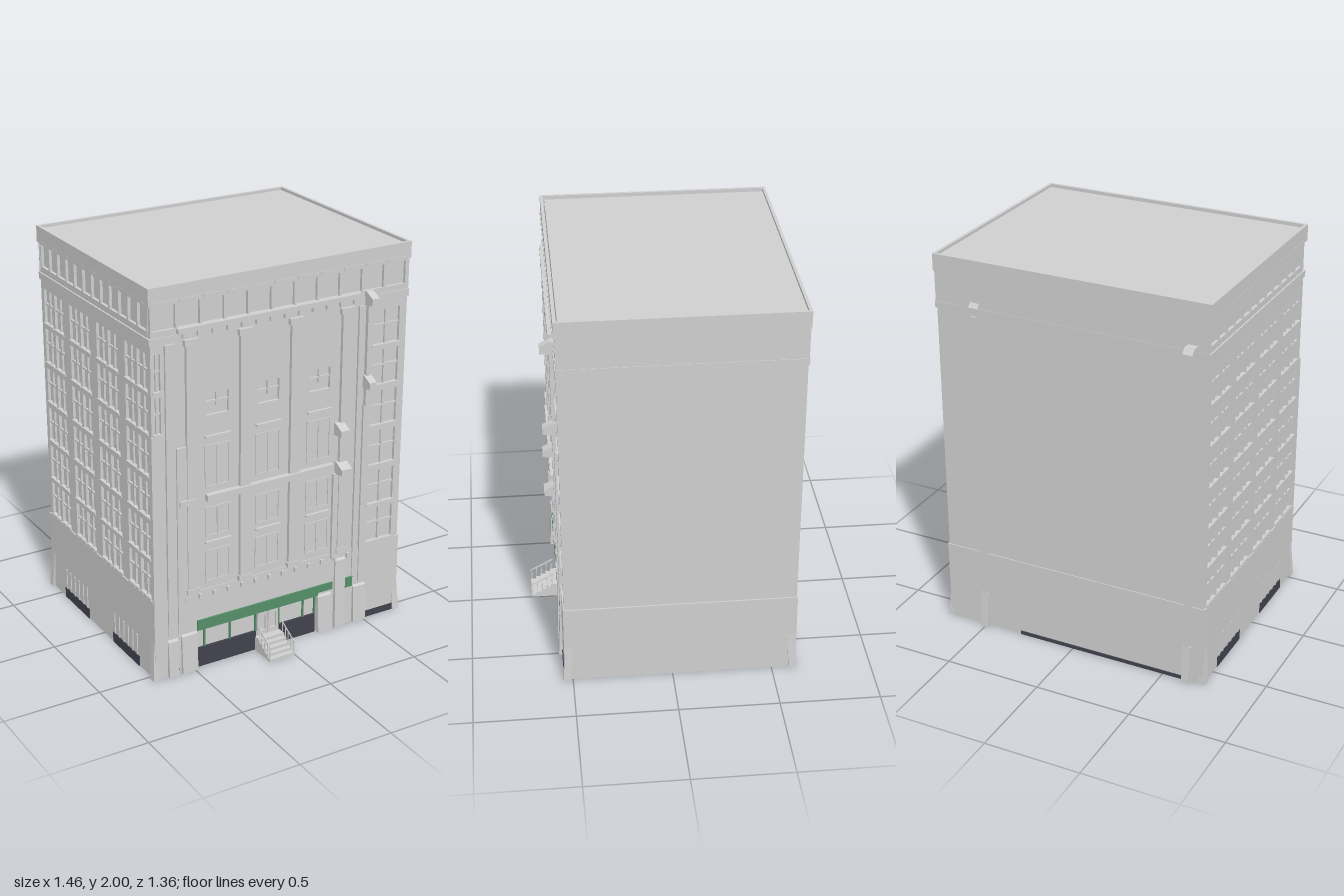
import * as THREE from 'three';

const mat = (name, color) => Object.assign(new THREE.MeshStandardMaterial({ color }), { name });

export function createModel() {
  const stone = mat('pale stone', 0xcfcfcf);
  const dark = mat('dark plinth', 0x42424e);
  const green = mat('green trim', 0x55906a);
  const root = new THREE.Group();
  root.name = 'building';

  const add = (parent, name, geo, m = stone) => {
    const mesh = new THREE.Mesh(geo, m);
    mesh.name = name;
    parent.add(mesh);
    return mesh;
  };
  // Box given by its lower and upper limits on each axis
  const box = (parent, name, x0, x1, y0, y1, z0, z1, m) => {
    const g = new THREE.BoxGeometry(x1 - x0, y1 - y0, z1 - z0);
    g.translate((x0 + x1) / 2, (y0 + y1) / 2, (z0 + z1) / 2);
    return add(parent, name, g, m);
  };
  // Wall plate with rectangular openings [x0, x1, y0, y1]
  const rect = (P, [x0, x1, y0, y1]) => {
    const p = new P();
    p.moveTo(x0, y0); p.lineTo(x1, y0); p.lineTo(x1, y1); p.lineTo(x0, y1); p.closePath();
    return p;
  };
  const plate = (parent, name, outer, holes, z0, z1, m) => {
    const s = rect(THREE.Shape, outer);
    s.holes = holes.map(h => rect(THREE.Path, h));
    const g = new THREE.ExtrudeGeometry(s, { depth: z1 - z0, bevelEnabled: false });
    g.translate(0, 0, z0);
    return add(parent, name, g, m);
  };
  // Prism from a side profile of [z, y] points, spanning x0 to x1
  const profile = (parent, name, pts, x0, x1, m) => {
    const s = new THREE.Shape(pts.map(([z, y]) => new THREE.Vector2(-z, y)));
    const g = new THREE.ExtrudeGeometry(s, { depth: x1 - x0, bevelEnabled: false });
    g.rotateY(Math.PI / 2);
    g.translate(x0, 0, 0);
    return add(parent, name, g, m);
  };
  // Crossed glazing bars, with a sill below
  const glazing = (parent, [x0, x1, y0, y1], z) => {
    const xm = (x0 + x1) / 2, ym = y0 + (y1 - y0) * 0.55;
    box(parent, 'windowMullion', xm - 0.005, xm + 0.005, y0, y1, z - 0.015, z - 0.005);
    box(parent, 'windowTransom', x0, x1, ym - 0.005, ym + 0.005, z - 0.015, z - 0.005);
    box(parent, 'windowSill', x0 - 0.005, x1 + 0.005, y0 - 0.01, y0, z - 0.01, z + 0.006);
  };
  const rows = [0.435, 0.645, 0.86, 1.075, 1.29, 1.5];

  // Main block, solid above an open ground floor
  box(root, 'mainBlock', -0.695, 0.71, 0.4, 1.985, -0.615, 0.52);
  box(root, 'backBaseWall', -0.715, 0.715, 0, 0.4, -0.62, -0.6);
  box(root, 'leftBaseWall', 0.695, 0.715, 0, 0.4, -0.6, 0.54);
  // Parapet rim and upper bands
  const ring = (name, y0, y1, x, zb, zf, t) => {
    box(root, name, -x, x, y0, y1, zf - t, zf);
    box(root, name, -x, x, y0, y1, zb, zb + t);
    for (const s of [-1, 1])
      box(root, name, s < 0 ? -x : x - t, s < 0 ? -x + t : x, y0, y1, zb + t, zf - t);
  };
  ring('parapet', 1.915, 2, 0.72, -0.622, 0.542, 0.015);
  ring('upperBand', 1.725, 1.76, 0.718, -0.62, 0.54, 0.025);
  ring('lowerBand', 0.395, 0.425, 0.717, -0.62, 0.54, 0.025);
  box(root, 'backFrieze', -0.713, 0.713, 1.76, 1.915, -0.618, -0.61);
  box(root, 'leftFrieze', 0.7, 0.715, 1.76, 1.915, -0.618, 0.535);

  // Front wall with stair windows on the right and narrow ones on the left
  const frontHoles = rows.map(y => [0.515, 0.67, y, y + 0.18]);
  rows.slice(4).forEach(y => frontHoles.push([-0.695, -0.66, y, y + 0.18]));
  const bays = [-0.36, -0.08, 0.21];
  bays.forEach(x => frontHoles.push([x - 0.06, x + 0.06, 1.33, 1.44]));
  plate(root, 'frontWall', [-0.71, 0.71, 0.4, 1.76], frontHoles, 0.515, 0.535);
  frontHoles.slice(0, 8).forEach(h => glazing(root, h, 0.535));
  // Bay windows between the columns
  bays.forEach(x => {
    box(root, 'bayMullion', x - 0.005, x + 0.005, 1.37, 1.44, 0.52, 0.532);
    box(root, 'bayTransom', x - 0.06, x + 0.06, 1.39, 1.4, 0.52, 0.53);
    for (const y of [1.22, 0.67])
      box(root, 'baySill', x - 0.07, x + 0.07, y, y + 0.01, 0.53, 0.55);
    for (const [y0, y1] of [[0.96, 1.18], [0.7, 0.86], [0.46, 0.63]])
      plate(root, 'bayFrame', [x - 0.07, x + 0.07, y0, y1],
        [[x - 0.06, x - 0.005, y0 + 0.01, y1 - 0.01], [x + 0.005, x + 0.06, y0 + 0.01, y1 - 0.01]], 0.53, 0.54);
  });

  // Frieze panels below the parapet, shared by the two decorated sides
  const frieze = (parent, x0, x1, n, z) => {
    const step = (x1 - x0) / n, holes = [];
    for (let i = 0; i < n; i++)
      holes.push([x0 + i * step + 0.006, x0 + (i + 1) * step - 0.006, 1.79, 1.905]);
    plate(parent, 'friezePanels', [x0 - 0.008, x1 + 0.008, 1.76, 1.915], holes, z - 0.02, z);
    for (let i = 0; i < n; i++)
      box(parent, 'friezeSlot', x0 + i * step + 0.01, x0 + (i + 1) * step - 0.01, 1.915, 1.93, z, z + 0.011);
  };
  frieze(root, -0.7, 0.7, 11, 0.535);

  // Columns with capitals and feet
  for (const x of [-0.505, -0.215, 0.065, 0.355]) {
    box(root, 'column', x - 0.028, x + 0.028, 0.44, 1.71, 0.53, 0.553);
    box(root, 'columnCapital', x - 0.038, x + 0.038, 1.7, 1.73, 0.53, 0.557);
    box(root, 'columnFoot', x - 0.035, x + 0.035, 0.425, 0.45, 0.53, 0.557);
  }
  for (const [x0, x1, y1] of [[-0.64, -0.59, 1.72], [0.425, 0.455, 1.72], [0.465, 0.505, 1.2], [-0.585, -0.53, 1.2]])
    box(root, 'sidePilaster', x0, x1, 0.22, y1, 0.53, 0.547);
  box(root, 'cornerPier', -0.715, -0.645, 0, 1.28, 0.53, 0.542);
  // Cornice and rows of small studs
  box(root, 'cornice', -0.575, 0.425, 1.765, 1.79, 0.53, 0.558);
  for (let i = 0; i < 13; i++) {
    const x = -0.54 + i * 0.078;
    box(root, 'corniceStud', x - 0.01, x + 0.01, 1.74, 1.765, 0.53, 0.555);
    box(root, 'bandStud', x - 0.008, x + 0.008, 0.385, 0.41, 0.535, 0.553);
  }
  // Ledge and projecting brackets
  box(root, 'ledge', -0.43, 0.285, 0.9, 0.932, 0.53, 0.565);
  box(root, 'ledge', -0.575, -0.495, 0.9, 0.93, 0.53, 0.56);
  const bracket = (x0, x1, y0, y1) =>
    profile(root, 'bracket', [[0.53, y0], [0.6, y0 + 0.01], [0.6, y1 - 0.025], [0.55, y1], [0.53, y1]], x0, x1);
  bracket(0.31, 0.37, 0.865, 0.93);
  bracket(0.3, 0.35, 1.075, 1.14);
  bracket(0.46, 0.5, 1.29, 1.36);
  bracket(0.46, 0.5, 1.72, 1.79);
  box(root, 'frontPipe', 0.47, 0.49, 1.2, 1.75, 0.53, 0.555);
  box(root, 'frontPipe', 0.295, 0.325, 0.4, 0.87, 0.53, 0.55);

  // Ground floor front with shop opening
  plate(root, 'frontBaseWall', [-0.715, 0.715, 0, 0.4], [[-0.48, 0.22, 0.001, 0.25]], 0.52, 0.54);
  plate(root, 'shopWall', [-0.48, 0.22, 0.1, 0.25], [], 0.515, 0.525);
  box(root, 'shopPlinth', -0.48, -0.14, 0, 0.105, 0.51, 0.538, dark);
  box(root, 'shopPlinth', 0, 0.21, 0, 0.105, 0.51, 0.538, dark);
  box(root, 'shopFascia', -0.48, 0.22, 0.21, 0.265, 0.52, 0.549, green);
  box(root, 'sideFascia', 0.22, 0.31, 0.225, 0.265, 0.535, 0.547, green);
  box(root, 'sideFascia', 0.38, 0.43, 0.21, 0.265, 0.535, 0.547, green);
  for (const x of [-0.435, -0.29, -0.14, -0.005, 0.14, 0.21])
    box(root, 'shopMullion', x - 0.004, x + 0.004, 0.105, 0.21, 0.52, 0.535, green);
  box(root, 'frontPlinth', 0.515, 0.69, 0, 0.035, 0.535, 0.544, dark);
  box(root, 'frontPlinth', -0.63, -0.585, 0, 0.035, 0.535, 0.55, dark);
  // Door leaves
  for (const x of [-0.13, -0.068])
    plate(root, 'doorLeaf', [x, x + 0.058, 0.04, 0.2], [[x + 0.012, x + 0.046, 0.1, 0.185]], 0.526, 0.536);
  box(root, 'doorBack', -0.14, 0, 0, 0.21, 0.51, 0.526);
  // Stoop and handrails
  for (let i = 0; i < 5; i++)
    box(root, 'step', -0.145, 0, 0, 0.015 + i * 0.015, 0.53, 0.68 - i * 0.026);
  for (const x of [-0.143, -0.006]) {
    for (let i = 0; i < 5; i++)
      box(root, 'railPost', x, x + 0.004, 0.01 + i * 0.015, 0.08 + i * 0.014, 0.672 - i * 0.026, 0.676 - i * 0.026);
    profile(root, 'handrail', [[0.68, 0.07], [0.68, 0.077], [0.56, 0.142], [0.56, 0.135]], x, x + 0.004);
  }
  // Sloped buttresses at the foot of the pilasters
  for (const [x0, x1, h] of [[-0.57, -0.485, 0.22], [0.22, 0.3, 0.22], [0.435, 0.51, 0.22], [-0.645, -0.59, 0.21], [0.32, 0.38, 0.4]])
    profile(root, 'buttress', [[0.53, 0], [0.56, 0], [0.55, h - 0.02], [0.53, h]], x0, x1);

  // Flared corner feet
  for (const sx of [-1, 1]) for (const z of [-0.605, 0.53]) {
    const g = new THREE.BoxGeometry(0.036, 0.2, 0.036);
    const p = g.attributes.position;
    for (let i = 0; i < p.count; i++) if (p.getY(i) > 0) {
      p.setX(i, p.getX(i) - sx * 0.014);
      p.setZ(i, p.getZ(i) - Math.sign(z) * 0.014);
    }
    g.translate(sx * 0.711, 0.1, z);
    g.computeVertexNormals();
    add(root, 'cornerFoot', g);
  }

  // Windowed side: local x runs along the wall, local z points outward
  const side = new THREE.Group();
  side.name = 'windowedSide';
  side.rotation.y = -Math.PI / 2;
  root.add(side);
  const sideHoles = [];
  for (const c of [-0.475, -0.185, 0.105, 0.395]) for (const y of rows) {
    sideHoles.push([c - 0.11, c - 0.01, y, y + 0.18], [c + 0.01, c + 0.11, y, y + 0.18]);
  }
  plate(side, 'sideWall', [-0.615, 0.515, 0.4, 1.76], sideHoles, 0.69, 0.71);
  sideHoles.forEach(h => glazing(side, h, 0.71));
  frieze(side, -0.605, 0.505, 12, 0.71);
  plate(side, 'sideBaseWall', [-0.6, 0.52, 0, 0.4], [], 0.695, 0.715);
  for (const c of [-0.31, 0.24]) {
    box(side, 'sidePlinth', c - 0.14, c + 0.14, 0, 0.055, 0.712, 0.719, dark);
    for (let i = 0; i < 6; i++) {
      const x = c - 0.12 + i * 0.048;
      box(side, 'ventBar', x - 0.004, x + 0.004, 0.055, 0.17, 0.712, 0.72);
    }
  }

  // Rear downpipes with hoppers
  for (const [x, out] of [[-0.63, 0.68], [0.5, 0.635]]) {
    box(root, 'downpipe', x - 0.015, x + 0.015, 0.17, 1.72, -0.634, -0.61);
    profile(root, 'pipeShoe', [[-0.61, 0], [-0.61, 0.2], [-0.634, 0.2], [-0.65, 0]], x - 0.02, x + 0.02);
    profile(root, 'pipeHopper', [[-0.61, 1.72], [-0.61, 1.79], [-out + 0.02, 1.79], [-out, 1.765], [-out, 1.725]],
      x - 0.025, x + 0.025);
  }
  box(root, 'backPlinth', -0.6, 0.3, 0, 0.018, -0.626, -0.61, dark);

  // Ground floor interior, seen through the open underside
  box(root, 'innerBackPlinth', -0.6, 0.5, 0, 0.1, -0.6, -0.57, dark);
  box(root, 'innerFrontPlinth', -0.6, 0.5, 0.02, 0.06, 0.49, 0.51, dark);
  for (const [x, s] of [[-0.66, 1], [0.66, -1]]) {
    box(root, 'innerSideWall', x - 0.01, x + 0.01, 0.02, 0.4, -0.57, 0.49);
    box(root, 'innerSidePlinth', x - 0.014, x + 0.014, 0.01, 0.06, -0.57, 0.49, dark);
    box(root, 'innerTrim', x + s * 0.01 - 0.006, x + s * 0.01 + 0.006, 0.2, 0.25, -0.57, 0.49, green);
  }
  return root;
}
